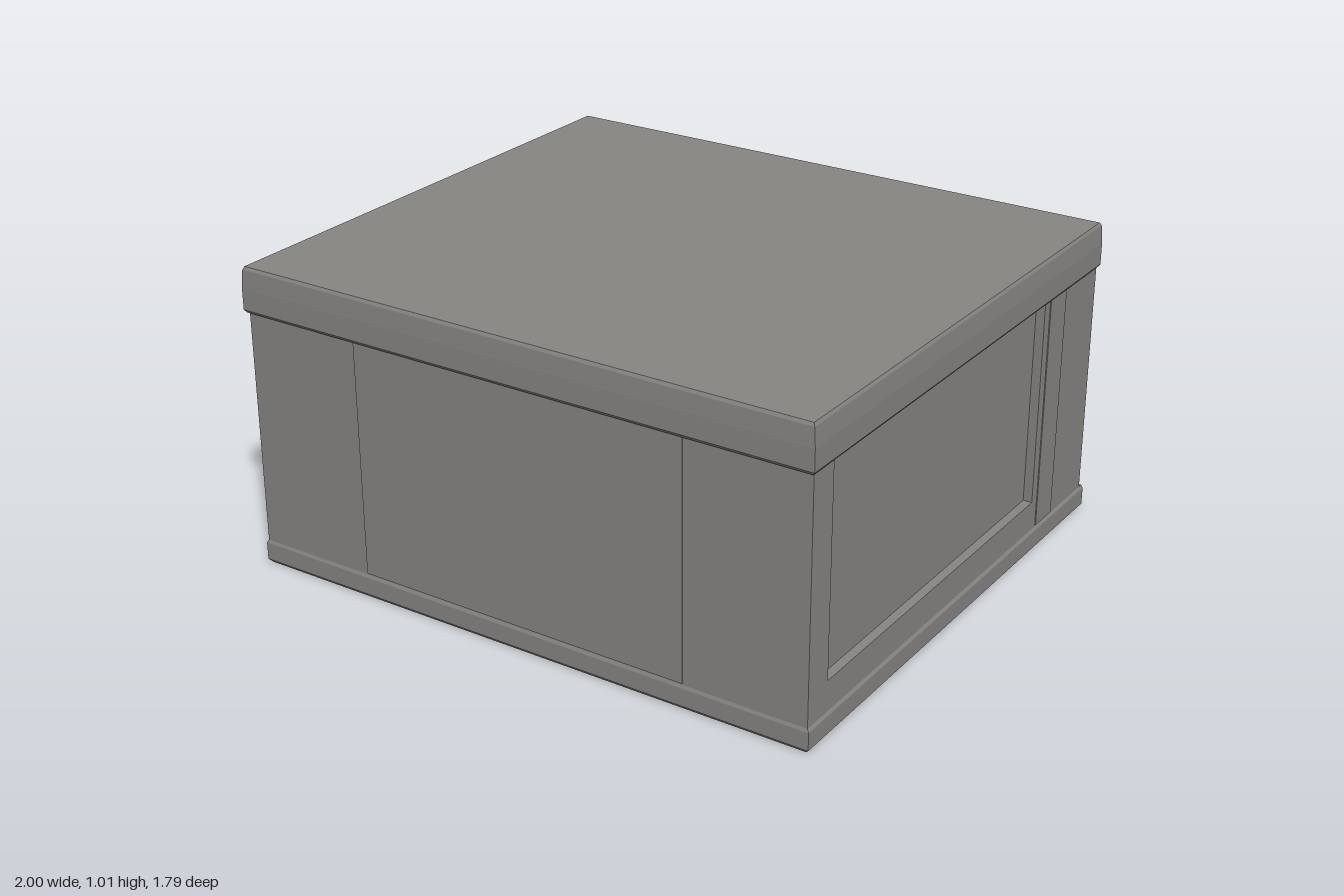
import * as THREE from 'three';
import { ConvexGeometry } from 'three/addons/geometries/ConvexGeometry.js';

const shell = new THREE.MeshStandardMaterial({ color: 0x878582, name: 'grey shell' });
const dark = new THREE.MeshStandardMaterial({ color: 0x0c0c0c, name: 'black lining' });

export function createModel() {
  const model = new THREE.Group();
  model.name = 'storageBox';

  const add = (name, geometry, x = 0, y = 0, z = 0, material = shell) => {
    const mesh = new THREE.Mesh(geometry, material);
    mesh.name = name;
    mesh.position.set(x, y, z);
    model.add(mesh);
    return mesh;
  };
  // Box given by its lower and upper corners
  const block = (name, a, b, material) => add(name,
    new THREE.BoxGeometry(b[0] - a[0], b[1] - a[1], b[2] - a[2]),
    (a[0] + b[0]) / 2, (a[1] + b[1]) / 2, (a[2] + b[2]) / 2, material);
  // Convex slab through rectangles: [y, half width, back z, front z]
  const slab = (name, levels) => add(name, new ConvexGeometry(levels.flatMap(([y, w, back, front]) =>
    [[-w, back], [w, back], [w, front], [-w, front]].map(([x, z]) => new THREE.Vector3(x, y, z)))));
  // Rectangle with rounded corners, as a shape or a hole
  const rect = (Type, x0, y0, x1, y1, r = 0) => {
    const s = new Type();
    if (!r) {
      s.moveTo(x0, y0).lineTo(x1, y0).lineTo(x1, y1).lineTo(x0, y1).closePath();
      return s;
    }
    s.absarc(x1 - r, y0 + r, r, -Math.PI / 2, 0);
    s.absarc(x1 - r, y1 - r, r, 0, Math.PI / 2);
    s.absarc(x0 + r, y1 - r, r, Math.PI / 2, Math.PI);
    s.absarc(x0 + r, y0 + r, r, Math.PI, Math.PI * 1.5);
    s.closePath();
    return s;
  };
  const extrude = (shape, depth) => new THREE.ExtrudeGeometry(shape, { depth, bevelEnabled: false, curveSegments: 5 });

  // Lid with a slightly swollen rim
  slab('lid', [
    [0.86, 0.993, -0.875, 0.888], [0.87, 1, -0.882, 0.895], [0.94, 1, -0.882, 0.895],
    [0.955, 0.995, -0.88, 0.892], [1.0, 0.995, -0.88, 0.892], [1.01, 0.99, -0.875, 0.887],
  ]);

  // Base with a rear sill
  slab('base', [
    [0, 0.985, -0.89, 0.875], [0.012, 0.996, -0.893, 0.884],
    [0.07, 0.996, -0.893, 0.884], [0.08, 0.99, -0.893, 0.88],
  ]);

  // Front wall with a faintly raised centre
  block('frontWall', [-0.99, 0.07, 0.81], [0.99, 0.87, 0.88]);
  block('frontCentrePlate', [-0.58, 0.085, 0.88], [0.58, 0.86, 0.883]);

  // Side walls with recessed panels
  const wall = rect(THREE.Shape, -0.85, 0.07, 0.875, 0.87);
  wall.holes.push(rect(THREE.Path, -0.775, 0.18, 0.505, 0.858));
  const wallGeometry = extrude(wall, 0.06).rotateY(Math.PI / 2);
  for (const side of [1, -1]) {
    const label = side > 0 ? 'left' : 'right';
    add(label + 'Wall', wallGeometry, side > 0 ? 0.93 : -0.99);
    add(label + 'RecessedPanel', new THREE.BoxGeometry(0.03, 0.72, 1.32), side * 0.945, 0.51, 0.135);
    add(label + 'Rib', new THREE.BoxGeometry(0.004, 0.775, 0.11), side * 0.991, 0.4725, -0.595);
    // Corner post and tab inside the rear bay
    add(label + 'InnerPost', new THREE.BoxGeometry(0.02, 0.78, 0.07), side * 0.921, 0.47, -0.635);
    add(label + 'InnerTab', new THREE.BoxGeometry(0.05, 0.03, 0.03), side * 0.89, 0.845, -0.615);
  }

  // Rear panel set back in the bay, with a handle slot
  const slot = [-0.22, 0.355, 0.22, 0.495];
  const panel = rect(THREE.Shape, -0.94, 0.07, 0.94, 0.87);
  panel.holes.push(rect(THREE.Path, ...slot, 0.045));
  add('rearPanel', extrude(panel, 0.03), 0, 0, -0.6);

  // Black pocket behind the slot
  const lining = rect(THREE.Shape, -0.235, 0.34, 0.235, 0.51, 0.05);
  lining.holes.push(rect(THREE.Path, -0.213, 0.362, 0.213, 0.488, 0.04));
  add('slotLining', extrude(lining, 0.1), 0, 0, -0.598, dark);
  block('slotBack', [-0.235, 0.34, -0.5], [0.235, 0.51, -0.49], dark);

  // Screw rims around the slot
  const rim = new THREE.TorusGeometry(0.018, 0.005, 6, 16);
  for (const x of [-0.255, 0.255])
    for (const y of [0.37, 0.505]) add('screwRim', rim, x, y, -0.601);

  return model;
}
